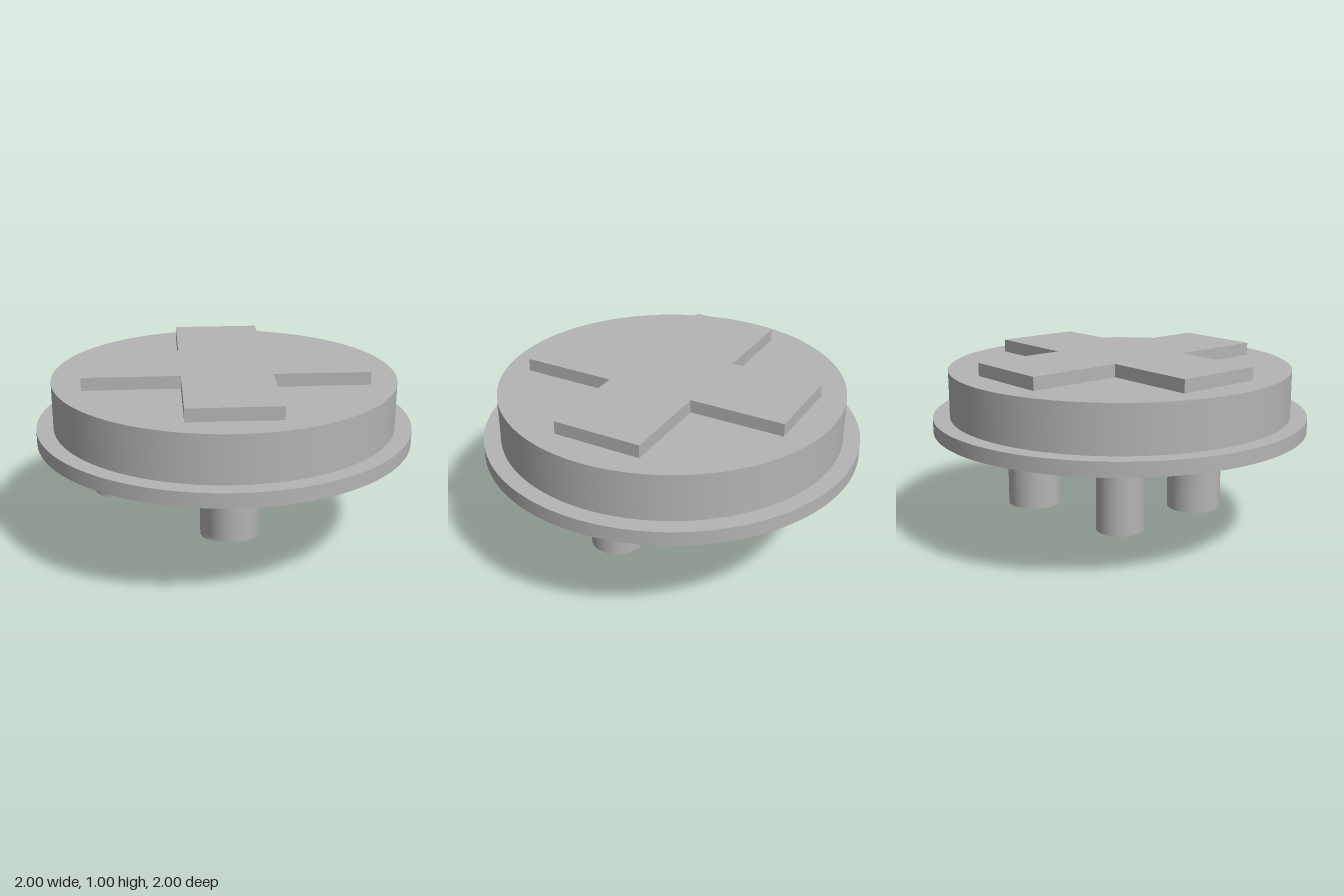
import * as THREE from 'three';

export function createModel() {
  const model = new THREE.Group();
  const grey = new THREE.MeshStandardMaterial({ color: 0xb4b4b4 });
  grey.name = 'grey';

  function add(name, geometry, x = 0, y = 0, z = 0) {
    const mesh = new THREE.Mesh(geometry, grey);
    mesh.name = name;
    mesh.position.set(x, y, z);
    model.add(mesh);
  }

  // Upright cylinder spanning two heights
  function post(name, radius, bottom, top, x = 0, z = 0) {
    const geometry = new THREE.CylinderGeometry(radius, radius, top - bottom, 96);
    add(name, geometry, x, (bottom + top) / 2, z);
  }

  // Round base flange and the body above it
  post('flange', 1, 0.604, 0.68);
  post('body', 0.911, 0.68, 0.93);

  // Raised cross on top
  const a = 0.741, b = 0.236;
  const outline = [
    [b, -a], [b, -b], [a, -b], [a, b], [b, b], [b, a],
    [-b, a], [-b, b], [-a, b], [-a, -b], [-b, -b], [-b, -a],
  ].map(([x, y]) => new THREE.Vector2(x, y));
  const cross = new THREE.ExtrudeGeometry(new THREE.Shape(outline), { depth: 0.068, bevelEnabled: false });
  cross.rotateX(-Math.PI / 2);
  add('raisedCross', cross, 0, 0.93, 0);

  // Long centre pin and four short pins around it
  post('centrePin', 0.134, 0, 0.604);
  for (const [name, x, z] of [['leftPin', 1, 0], ['rightPin', -1, 0], ['frontPin', 0, 1], ['backPin', 0, -1]]) {
    post(name, 0.134, 0.289, 0.604, x * 0.575, z * 0.575);
  }

  return model;
}
